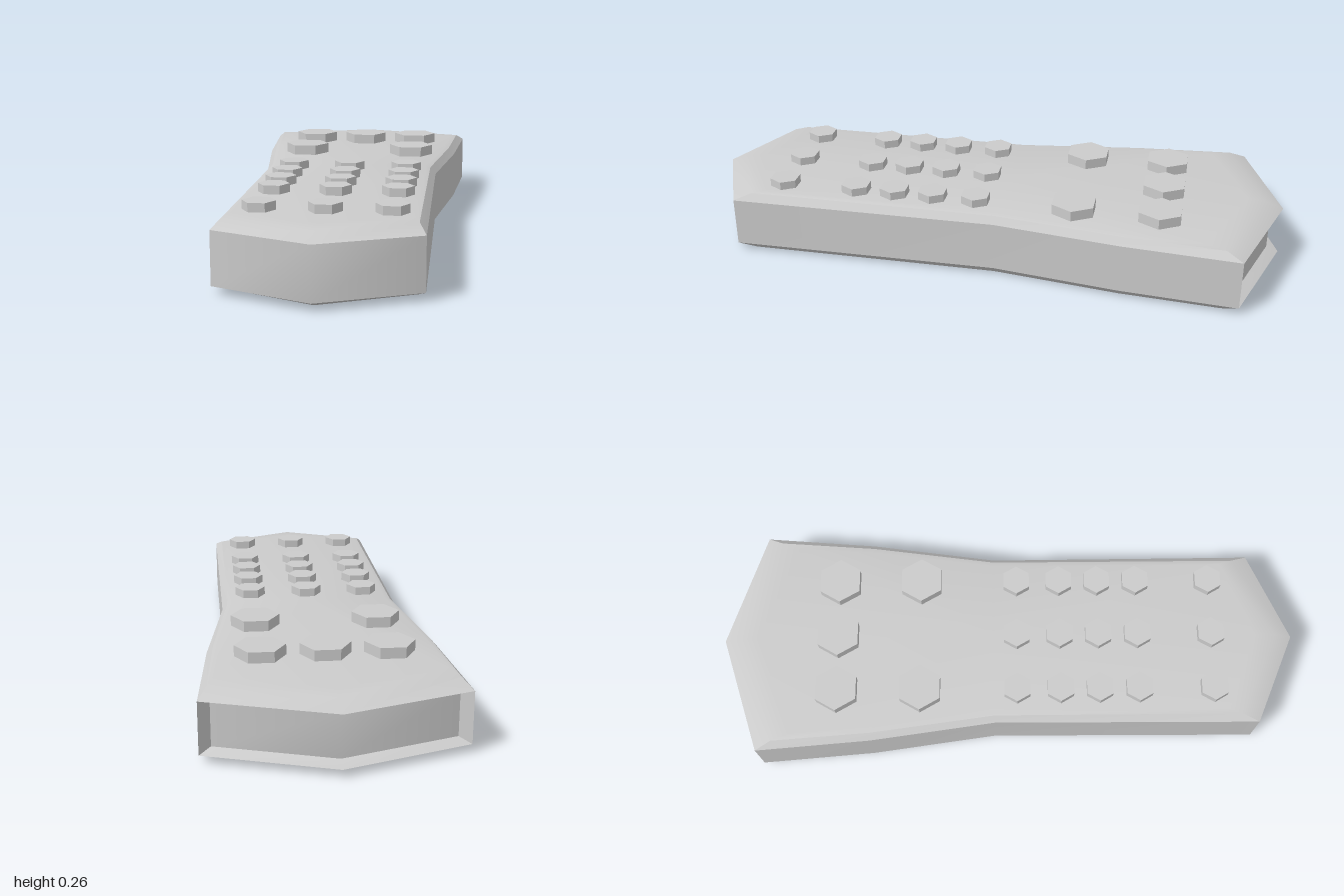
import * as THREE from 'three';
import { toCreasedNormals } from 'three/addons/utils/BufferGeometryUtils.js';

const material = new THREE.MeshStandardMaterial({ color: 0xcccccc });

// Half outline [x, y, z] from front tip to rear tip, mirrored into a closed ring.
function ring(half) {
  const mirrored = half.slice(1, -1).reverse().map(([x, y, z]) => [-x, y, z]);
  return [...half, ...mirrored];
}
const flat = (y, outline) => ring(outline.map(([x, z]) => [x, y, z]));

const quad = (out, a, b, c, d) => out.push(...a, ...b, ...c, ...a, ...c, ...d);

// Joins two rings over the chosen segments.
function band(out, low, high, keep = () => true) {
  low.forEach((p, i) => {
    const j = (i + 1) % low.length;
    if (keep(i)) quad(out, p, low[j], high[j], high[i]);
  });
}

// Closes a ring with a fan around a point near its middle.
function cap(out, points, y, up) {
  points.forEach((p, i) => {
    const q = points[(i + 1) % points.length];
    out.push(0, y, -0.05, ...(up ? p : q), ...(up ? q : p));
  });
}

function addMesh(group, name, positions, crease) {
  const geometry = new THREE.BufferGeometry();
  geometry.setAttribute('position', new THREE.Float32BufferAttribute(positions, 3));
  const mesh = new THREE.Mesh(toCreasedNormals(geometry, crease), material);
  mesh.name = name;
  group.add(mesh);
}

export function createModel() {
  const model = new THREE.Group();
  model.name = 'remoteControl';

  const outer = [[0, 1], [0.31, 0.865], [0.306, -0.05], [0.366, -0.48], [0.398, -0.87], [0, -1]];
  const inner = [[0, 0.94], [0.287, 0.805], [0.287, -0.05], [0.345, -0.48], [0.37, -0.815], [0, -0.935]];
  const crown = [[0, 0.87], [0.27, 0.76], [0.27, -0.05], [0.325, -0.46], [0.345, -0.75], [0, -0.88]];
  const recess = outer.map(([x, z], i) => (i === 4 ? [0.362, -0.843] : i === 5 ? [0, -0.96] : [x, z]));

  const low = flat(0.025, outer), high = flat(0.192, outer);
  const recessLow = flat(0.04, recess), recessHigh = flat(0.18, recess);
  const isRear = (i) => i === 4 || i === 5;

  // Upright side and front walls
  const walls = [];
  band(walls, low, high, (i) => !isRear(i));
  addMesh(model, 'sideWalls', walls, 0.9);

  // Sunken rear panel with its lips and cheeks
  const rear = [];
  band(rear, low, recessLow, isRear);
  band(rear, recessLow, recessHigh, isRear);
  band(rear, recessHigh, high, isRear);
  quad(rear, low[4], recessLow[4], recessHigh[4], high[4]);
  quad(rear, recessLow[6], low[6], high[6], recessHigh[6]);
  addMesh(model, 'rearPanel', rear, 0.7);

  // Bevelled, slightly crowned top
  const top = [];
  const topEdge = flat(0.216, inner), topCrown = flat(0.221, crown);
  band(top, high, topEdge);
  band(top, topEdge, topCrown);
  cap(top, topCrown, 0.221, true);
  addMesh(model, 'topShell', top, 0.4);

  // Bevelled flat base
  const base = [];
  const baseEdge = flat(0.002, inner), baseFlat = flat(0, crown);
  band(base, baseEdge, low);
  band(base, baseFlat, baseEdge);
  cap(base, baseFlat, 0, false);
  addMesh(model, 'baseShell', base, 0.4);

  // Hexagonal buttons
  const buttons = new THREE.Group();
  buttons.name = 'buttons';
  model.add(buttons);
  function addButton(name, x, z, radius, topY) {
    const height = topY - 0.215;
    const geometry = toCreasedNormals(new THREE.CylinderGeometry(radius, radius, height, 6), 0.3);
    const mesh = new THREE.Mesh(geometry, material);
    mesh.rotation.y = Math.PI / 6;
    mesh.position.set(x, 0.215 + height / 2, z);
    mesh.name = name;
    buttons.add(mesh);
  }
  for (const x of [-0.195, 0.004, 0.204]) {
    addButton('largeButton', x, -0.594, 0.08, 0.256);
    if (Math.abs(x) > 0.1) addButton('largeButton', x, -0.306, 0.08, 0.256);
    for (const z of [0.03, 0.18, 0.315, 0.452, 0.71]) addButton('smallButton', x, z, 0.052, 0.249);
  }
  return model;
}
